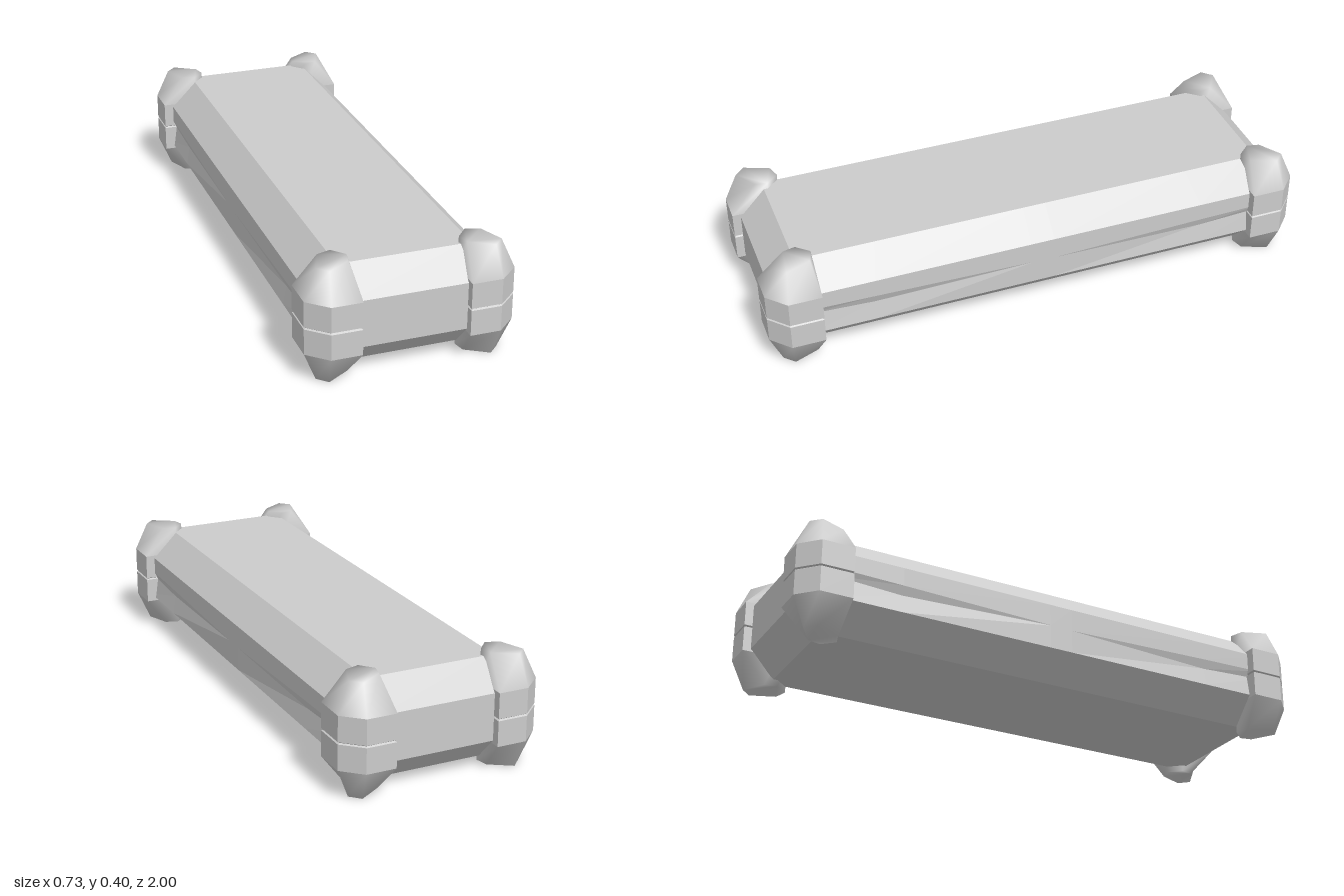
import * as THREE from 'three';

const material = new THREE.MeshStandardMaterial({ color: 0xcccccc });

// Skin between rings of [x, y, z] points, ordered anticlockwise from above, bottom ring first
function loft(rings, { smooth = false, bottom = false, top = false } = {}) {
  const n = rings[0].length;
  const index = [];
  for (let r = 0; r < rings.length - 1; r++) {
    for (let i = 0; i < n; i++) {
      const j = (i + 1) % n;
      const a = r * n + i, b = r * n + j, c = b + n, d = a + n;
      index.push(a, b, c, a, c, d);
    }
  }
  const last = (rings.length - 1) * n;
  for (let i = 1; i < n - 1; i++) {
    if (bottom) index.push(0, i + 1, i);
    if (top) index.push(last, last + i, last + i + 1);
  }
  let geometry = new THREE.BufferGeometry();
  geometry.setAttribute('position', new THREE.Float32BufferAttribute(rings.flat(2), 3));
  geometry.setIndex(index);
  if (!smooth) geometry = geometry.toNonIndexed();
  geometry.computeVertexNormals();
  return geometry;
}

function addMesh(parent, name, geometry) {
  const mesh = new THREE.Mesh(geometry, material);
  mesh.name = name;
  parent.add(mesh);
}

// Body ring: cut-corner rectangle with extra stations along each long side
function bodyRing(halfX, halfZ, cutX, cutZ, heights, insets) {
  const side = [1, 0.71, 0.05, -0.05, -0.71, -1].map((t, i) => {
    const k = i < 3 ? i : 5 - i;
    return [halfX - insets[k], heights[k], t * (halfZ - cutZ)];
  });
  const half = [
    [halfX - cutX, heights[0], halfZ],
    ...side,
    [halfX - cutX, heights[0], -halfZ],
  ];
  return [...half, ...half.map(([x, y, z]) => [-x, y, -z])];
}

// Cap outlines in (x, z): the wide band and the small crown
const bandOutline = [[0.187, 1], [0.295, 1], [0.365, 0.935], [0.365, 0.815], [0.235, 0.815], [0.187, 0.865]];
const crownOutline = [[0.205, 0.905], [0.285, 0.955], [0.32, 0.92], [0.285, 0.83], [0.235, 0.815], [0.195, 0.86]];

function cornerCap(sx, sz) {
  const cap = new THREE.Group();
  const ring = (outline, y, scale = 1) => {
    const points = outline.map(([x, z]) => [
      sx * (0.276 + (x - 0.276) * scale), y, sz * (0.907 + (z - 0.907) * scale),
    ]);
    return sx * sz < 0 ? points.reverse() : points;
  };
  // Band with a fine groove round its middle
  addMesh(cap, 'capBand', loft([
    ring(bandOutline, 0.107), ring(bandOutline, 0.199), ring(bandOutline, 0.203, 0.93),
    ring(bandOutline, 0.207), ring(bandOutline, 0.298),
  ]));
  // Soft tapered ends
  addMesh(cap, 'capTop', loft([ring(bandOutline, 0.298), ring(crownOutline, 0.403)], { smooth: true, top: true }));
  addMesh(cap, 'capFoot', loft([ring(crownOutline, 0), ring(bandOutline, 0.107)], { smooth: true, bottom: true }));
  return cap;
}

export function createModel() {
  const model = new THREE.Group();
  model.name = 'cappedBlock';

  // Bevelled body with a shallow tapering crease along each long side
  const flat = [0, 0, 0];
  const level = (y) => [y, y, y];
  addMesh(model, 'body', loft([
    bodyRing(0.235, 0.875, 0.035, 0.045, level(0.023), flat),
    bodyRing(0.33, 0.97, 0.09, 0.1, level(0.118), flat),
    bodyRing(0.33, 0.97, 0.09, 0.1, [0.2, 0.187, 0.204], [0.012, 0.012, 0]),
    bodyRing(0.33, 0.97, 0.09, 0.1, [0.225, 0.22, 0.206], flat),
    bodyRing(0.33, 0.97, 0.09, 0.1, level(0.287), flat),
    bodyRing(0.235, 0.875, 0.035, 0.045, level(0.382), flat),
  ], { bottom: true, top: true }));

  // One cap on each corner
  for (const sx of [1, -1]) {
    for (const sz of [1, -1]) {
      const cap = cornerCap(sx, sz);
      cap.name = `${sz > 0 ? 'front' : 'back'}${sx > 0 ? 'Left' : 'Right'}Cap`;
      model.add(cap);
    }
  }
  return model;
}
